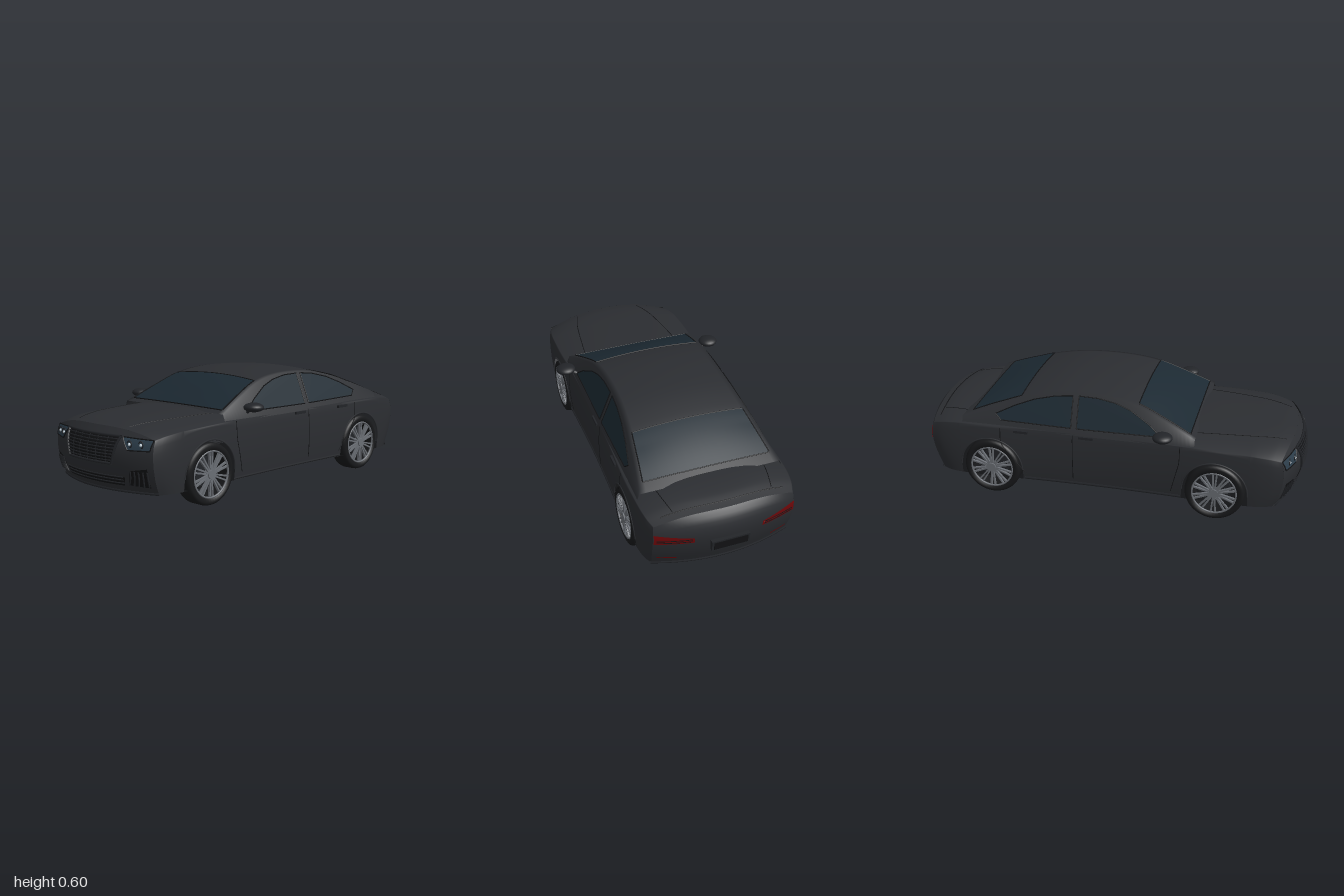
import * as THREE from 'three';

const mat = (color) => new THREE.MeshStandardMaterial({ color, side: THREE.DoubleSide, roughness: 0.6 });
const paint = mat(0x2b2d31), glass = mat(0x1c2932), rubber = mat(0x17181a), black = mat(0x111214);
const alloy = mat(0x6a6e74), lens = mat(0x2c3d4a), lamp = mat(0xc8d4dc), red = mat(0x6e0709), trim = mat(0x222428);

// Smooth lookup through ascending [x, y] points
const curve = (p) => (x) => {
  const n = p.length - 1;
  if (x <= p[0][0]) return p[0][1];
  if (x >= p[n][0]) return p[n][1];
  let i = 0;
  while (x > p[i + 1][0]) i++;
  const slope = (k) => {
    const a = p[Math.max(k - 1, 0)], b = p[Math.min(k + 1, n)];
    return (b[1] - a[1]) / (b[0] - a[0]);
  };
  const d = p[i + 1][0] - p[i][0], t = (x - p[i][0]) / d, t2 = t * t, t3 = t2 * t;
  return (2 * t3 - 3 * t2 + 1) * p[i][1] + (t3 - 2 * t2 + t) * d * slope(i)
    + (3 * t2 - 2 * t3) * p[i + 1][1] + (t3 - t2) * d * slope(i + 1);
};

// Governing curves of the body
const FLOOR = 0.095, AXLES = [0.58, -0.585], AXLE_Y = 0.152, ARCH = 0.166;
const halfWidth = curve([[-1, 0.355], [-0.93, 0.374], [-0.8, 0.386], [-0.58, 0.39], [-0.3, 0.38], [0, 0.375],
  [0.3, 0.38], [0.58, 0.39], [0.8, 0.386], [0.93, 0.374], [1, 0.358]]);
const deckY = curve([[-1, 0.402], [-0.9, 0.42], [-0.7, 0.43], [0.45, 0.43], [0.75, 0.42], [0.93, 0.407], [1, 0.393]]);
const noseZ = curve([[0.09, 0.95], [0.15, 0.98], [0.25, 1], [0.33, 0.99], [0.4, 0.945]]);
const tailZ = curve([[0.09, 0.93], [0.2, 0.97], [0.3, 0.985], [0.37, 0.965], [0.41, 0.93]]);
const roofY = curve([[-0.74, 0.418], [-0.6, 0.485], [-0.5, 0.526], [-0.4, 0.558], [-0.25, 0.588], [-0.1, 0.597],
  [0.05, 0.59], [0.17, 0.567], [0.28, 0.525], [0.38, 0.472], [0.47, 0.42]]);

const sideW = (s, y) => halfWidth(s) * (1 - 0.025 * ((y - 0.25) / 0.15) ** 2);
const endZ = (sign, x, y) => sign > 0 ? noseZ(y) - 0.088 * (x / 0.36) ** 2 : -tailZ(y) + 0.068 * (x / 0.36) ** 2;
const warpZ = (s, x, y) => {
  const a = Math.abs(s);
  return a < 0.76 ? s : Math.sign(s) * (0.76 + (a - 0.76) / 0.24 * (Math.abs(endZ(s, x, y)) - 0.76));
};
const shoulderY = (s) => deckY(s) - 0.045;
const side = (s, y, m = 1, off = 0) => { const x = sideW(s, y); return [m * (x + off), y, warpZ(s, x, y)]; };
const deck = (s, u, off = 0) => {
  const x = u * sideW(s, shoulderY(s)), y = deckY(s) - 0.045 * Math.abs(u) ** 3;
  return [x, y + off, warpZ(s, x, y)];
};
const cabinX = (y) => 0.355 - 0.065 * (y - 0.42) / 0.16;
const roof = (z, u, off = 0) => {
  const c = roofY(z), e = c - 0.02 * Math.min(1, Math.max(0, (c - 0.42) / 0.1));
  return [u * cabinX(e), c + (e - c) * u * u + off, z];
};

// Surface from a grid of points fn(i, j)
function grid(ni, nj, fn) {
  const pos = [], idx = [];
  for (let i = 0; i <= ni; i++) for (let j = 0; j <= nj; j++) {
    pos.push(...fn(i, j));
    const a = i * (nj + 1) + j, b = a + nj + 1;
    if (i < ni && j < nj) idx.push(a, b, a + 1, a + 1, b, b + 1);
  }
  const g = new THREE.BufferGeometry();
  g.setAttribute('position', new THREE.Float32BufferAttribute(pos, 3));
  g.setIndex(idx);
  g.computeVertexNormals();
  return g;
}
const lerp = THREE.MathUtils.lerp;

export function createModel() {
  const car = new THREE.Group();
  const add = (name, geo, m, parent = car) => {
    const mesh = new THREE.Mesh(geo, m);
    mesh.name = name;
    parent.add(mesh);
    return mesh;
  };
  const line = (name, pts, r = 0.002, m = black) => add(name, new THREE.TubeGeometry(
    new THREE.CatmullRomCurve3(pts.map((p) => new THREE.Vector3(...p)), false, 'centripetal'), 24, r, 5), m);
  // Four-cornered panel lying on the nose (+1) or tail (-1)
  const panel = (name, sign, q, m, off = 0.003) => add(name, grid(12, 4, (i, j) => {
    const u = i / 12, v = j / 4;
    const [x, y] = [0, 1].map((k) => lerp(lerp(q[0][k], q[1][k], u), lerp(q[3][k], q[2][k], u), v));
    return [x, y, endZ(sign, x, y) + sign * off];
  }), m);
  const onNose = (pts, off = 0.006) => pts.map(([x, y]) => [x, y, endZ(1, x, y) + off]);
  const range = (n, fn) => Array.from({ length: n + 1 }, (_, i) => fn(i / n));

  // Body shell with open wheel arches
  const stations = range(80, (t) => t * 2 - 1).filter((s) => AXLES.every((c) => Math.abs(s - c) > ARCH + 0.002));
  for (const c of AXLES) {
    stations.push(c - ARCH - 0.001, c + ARCH + 0.001, ...range(28, (t) => c + ARCH * Math.cos(t * Math.PI)));
  }
  stations.sort((a, b) => a - b);
  const bottom = (s) => {
    const c = AXLES.find((a) => Math.abs(s - a) <= ARCH + 1e-6);
    return c === undefined ? FLOOR : AXLE_Y + Math.sqrt(Math.max(0, ARCH ** 2 - (s - c) ** 2));
  };
  add('bodyShell', grid(stations.length - 1, 36, (i, j) => {
    const s = stations[i];
    if (j >= 8 && j <= 28) return deck(s, Math.cos((j - 8) / 20 * Math.PI));
    const k = (j < 8 ? j : 36 - j) / 8;
    return side(s, lerp(bottom(s), shoulderY(s), k), j < 8 ? 1 : -1);
  }), paint);
  add('floor', grid(40, 2, (i, j) => {
    const s = i / 20 - 1, x = (j - 1) * sideW(s, FLOOR);
    return [x, FLOOR, warpZ(s, x, FLOOR)];
  }), black);
  for (const e of [1, -1]) {
    add(e > 0 ? 'frontFascia' : 'rearFascia', grid(32, 14, (i, j) => {
      const u = Math.cos(i / 32 * Math.PI), v = j / 14;
      const x = u * sideW(e, lerp(FLOOR, shoulderY(e), v)), y = lerp(FLOOR, deck(e, u)[1], v);
      return [x, y, endZ(e, x, y)];
    }), paint);
    line('bumperLip', range(12, (t) => { const x = (t - 0.5) * 0.7; return [x, 0.1, endZ(e, x, 0.1)]; }), 0.007, trim);
  }

  // Cabin, windscreen and rear window
  add('cabin', grid(60, 24, (i, j) => {
    const z = 0.47 - i / 60 * 1.21;
    if (j === 0 || j === 24) return [(j ? -1 : 1) * cabinX(0.38), 0.38, z];
    return roof(z, 1 - (j - 1) / 11);
  }), paint);
  for (const [name, a, b] of [['windscreen', 0.445, 0.175], ['rearWindow', -0.435, -0.69]]) {
    add(name, grid(14, 14, (i, j) => roof(lerp(a, b, i / 14), (j / 7 - 1) * 0.93, 0.004)), glass);
    for (const z of [a, b]) line('windowSeal', range(8, (t) => roof(z, (t * 2 - 1) * 0.93, 0.004)), 0.003);
    for (const u of [-0.93, 0.93]) line('windowSeal', range(8, (t) => roof(lerp(a, b, t), u, 0.004)), 0.003);
  }

  // Side windows as [z, y] outlines on the tilted cabin side
  const windows = {
    frontSideWindow: [[0.3, 0.418], [0.24, 0.468], [0.14, 0.525], [0.06, 0.552], [-0.03, 0.566], [-0.13, 0.568], [-0.13, 0.414]],
    rearSideWindow: [[-0.16, 0.414], [-0.16, 0.567], [-0.25, 0.558], [-0.36, 0.533], [-0.46, 0.495], [-0.56, 0.447], [-0.53, 0.418]],
  };
  for (const m of [1, -1]) {
    for (const [name, pts] of Object.entries(windows)) {
      const g = new THREE.ShapeGeometry(new THREE.Shape(pts.map((p) => new THREE.Vector2(...p))));
      const p = g.attributes.position;
      for (let i = 0; i < p.count; i++) p.setXYZ(i, m * (cabinX(p.getY(i)) + 0.004), p.getY(i), p.getX(i));
      g.computeVertexNormals();
      add(name, g, glass);
      pts.forEach((a, i) => line('sideWindowFrame', [a, pts[(i + 1) % pts.length]]
        .map(([z, y]) => [m * (cabinX(y) + 0.004), y, z]), 0.003));
    }
    // Door seams, sill, handles, arch lips
    for (const [a, b] of [[0.36, 0.4], [-0.15, -0.15], [-0.4, -0.53]]) {
      line('doorSeam', range(8, (t) => side(lerp(a, b, Math.min(1, t * 1.5)), lerp(0.13, 0.383, t), m)));
    }
    line('sill', range(10, (t) => side(lerp(-0.41, 0.41, t), 0.105, m)), 0.007, trim);
    for (const z of [-0.08, -0.42]) {
      add('doorHandle', new THREE.BoxGeometry(0.014, 0.013, 0.075), trim).position.set(...side(z, 0.372, m, 0.003));
    }
    for (const c of AXLES) {
      line('archLip', range(16, (t) => side(c + ARCH * Math.cos(t * Math.PI), AXLE_Y + ARCH * Math.sin(t * Math.PI), m)), 0.004, paint);
    }
    // Bonnet and boot lid seams
    line('bonnetSeam', range(8, (t) => deck(lerp(0.45, 0.97, t), m * lerp(0.7, 0.52, t))));
    line('bootSeam', range(8, (t) => deck(lerp(-0.62, -0.95, t), m * lerp(0.74, 0.68, t))));
    // Mirror
    const mirror = add('mirrorHousing', new THREE.SphereGeometry(1, 24, 14), trim);
    mirror.scale.set(0.051, 0.023, 0.05);
    mirror.position.set(m * 0.415, 0.445, 0.32);
    line('mirrorArm', [[m * 0.35, 0.41, 0.3], [m * 0.375, 0.425, 0.31], [m * 0.41, 0.44, 0.32]], 0.009, trim);

    // Headlights with two lamps, corner intakes with slats
    const head = [[0.2, 0.357], [0.352, 0.35], [0.345, 0.302], [0.24, 0.3]].map(([x, y]) => [m * x, y]);
    panel('headlight', 1, head, lens);
    head.forEach((a, i) => line('headlightFrame', onNose([a, head[(i + 1) % 4]].flatMap((p, k, [s, e]) =>
      k ? [e] : [s, [(s[0] + e[0]) / 2, (s[1] + e[1]) / 2]]), 0.004), 0.003));
    for (const x of [0.245, 0.3]) {
      add('lampRing', new THREE.TorusGeometry(0.015, 0.003, 6, 18), trim).position.set(m * x, 0.328, endZ(1, x, 0.328) + 0.004);
      add('lampBulb', new THREE.SphereGeometry(0.007, 10, 8), lamp).position.set(m * x, 0.326, endZ(1, x, 0.326) + 0.004);
    }
    panel('cornerIntake', 1, [[0.245, 0.205], [0.33, 0.22], [0.33, 0.13], [0.225, 0.135]].map(([x, y]) => [m * x, y]), black);
    for (let i = 0; i < 5; i++) {
      line('intakeSlat', onNose([[m * (0.25 + i * 0.02), 0.205], [m * (0.245 + i * 0.021), 0.17], [m * (0.23 + i * 0.024), 0.135]]), 0.004, trim);
    }
    // Tail lights and reflectors
    panel('tailLight', -1, [[0.352, 0.318], [0.17, 0.29], [0.17, 0.262], [0.352, 0.262]].map(([x, y]) => [m * x, y]), red);
    for (const y of [0.272, 0.284]) {
      line('tailLightBar', range(6, (t) => { const x = lerp(0.18, 0.34, t); return [m * x, y, endZ(-1, x, y) - 0.004]; }), 0.002);
    }
    panel('reflector', -1, [[0.33, 0.155], [0.24, 0.15], [0.24, 0.14], [0.33, 0.145]].map(([x, y]) => [m * x, y]), red);
  }

  // Grille and lower intake
  panel('grille', 1, [[-0.19, 0.358], [0.19, 0.358], [0.155, 0.232], [-0.155, 0.232]], black);
  const rim = [[-0.155, 0.232], [-0.19, 0.358], [0.19, 0.358], [0.155, 0.232], [-0.155, 0.232]];
  for (let i = 0; i < 4; i++) {
    line('grilleFrame', range(8, (t) => onNose([[lerp(rim[i][0], rim[i + 1][0], t), lerp(rim[i][1], rim[i + 1][1], t)]])[0]), 0.006, trim);
  }
  for (let i = 0; i < 8; i++) {
    const y = 0.246 + i * 0.0142, w = lerp(0.155, 0.19, (y - 0.232) / 0.126);
    line('grilleSlat', range(8, (t) => onNose([[(t * 2 - 1) * w, y]])[0]), 0.003, trim);
  }
  for (let x = -0.12; x < 0.13; x += 0.06) line('grilleUpright', onNose([[x, 0.235], [x, 0.295], [x, 0.355]], 0.004), 0.002, trim);
  panel('lowerIntake', 1, [[-0.215, 0.172], [0.215, 0.172], [0.2, 0.13], [-0.2, 0.13]], black);
  for (const y of [0.142, 0.158, 0.172]) line('lowerSlat', range(8, (t) => onNose([[(t * 2 - 1) * 0.205, y]])[0]), 0.003, trim);

  // Rear number plate and boot edge
  add('plate', new THREE.BoxGeometry(0.19, 0.055, 0.02), trim).position.set(0, 0.235, -0.99);
  add('plateRecess', new THREE.BoxGeometry(0.17, 0.04, 0.02), black).position.set(0, 0.235, -0.992);
  line('bootEdge', range(12, (t) => deck(-0.96, (t * 2 - 1) * 0.85)), 0.003);

  // Wheels: local y is the axle, outer side up
  const tyre = [[0.112, -0.048], [0.135, -0.048], [0.146, -0.042], [0.15, -0.03], [0.15, 0.03], [0.146, 0.042], [0.135, 0.048],
    [0.114, 0.046], [0.112, 0.03], [0.112, -0.048]].map((p) => new THREE.Vector2(...p));
  for (const m of [1, -1]) for (const z of AXLES) {
    const wheel = new THREE.Group();
    wheel.name = z > 0 ? 'frontWheel' : 'rearWheel';
    wheel.position.set(m * 0.342, AXLE_Y, z);
    wheel.rotation.z = -m * Math.PI / 2;
    car.add(wheel);
    add('tyre', new THREE.LatheGeometry(tyre, 48), rubber, wheel);
    const ring = add('rimRing', new THREE.TorusGeometry(0.111, 0.005, 8, 48), alloy, wheel);
    ring.rotation.x = Math.PI / 2;
    ring.position.y = 0.044;
    add('hub', new THREE.CylinderGeometry(0.022, 0.026, 0.03, 20), alloy, wheel).position.y = 0.036;
    add('brakeDisc', new THREE.CylinderGeometry(0.08, 0.08, 0.012, 32), trim, wheel);
    for (let i = 0; i < 10; i++) {
      const spoke = new THREE.Group();
      spoke.rotation.y = i * Math.PI / 5;
      wheel.add(spoke);
      for (const d of [-1, 1]) {
        const bar = add('spoke', new THREE.BoxGeometry(0.095, 0.012, 0.008), alloy, spoke);
        bar.position.set(0.064, 0.04, d * 0.007);
        bar.rotation.y = -d * 0.08;
      }
    }
  }
  return car;
}
